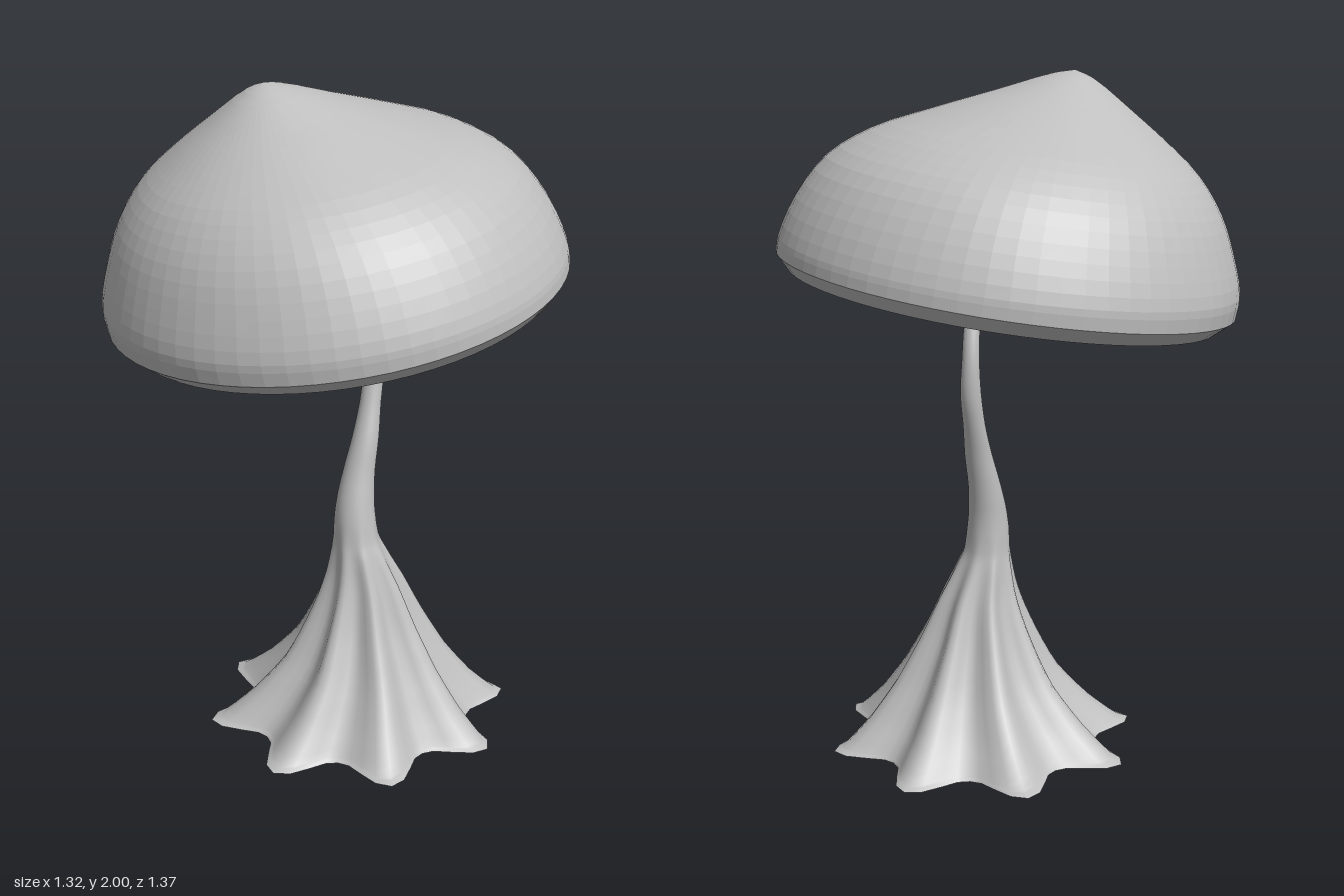
import * as THREE from 'three';

const SEGMENTS = 64;

// Skin a list of rings; each ring maps an angle to a point. Rings run from the underside outwards and up.
function loft(rings, faceted) {
  const positions = [], index = [];
  for (const ring of rings) {
    for (let j = 0; j < SEGMENTS; j++) positions.push(...ring((j / SEGMENTS) * Math.PI * 2).toArray());
  }
  for (let i = 0; i < rings.length - 1; i++) {
    for (let j = 0; j < SEGMENTS; j++) {
      const k = (j + 1) % SEGMENTS;
      const a = i * SEGMENTS + j, c = i * SEGMENTS + k;
      const b = a + SEGMENTS, d = c + SEGMENTS;
      index.push(a, b, c, b, d, c);
    }
  }
  let geometry = new THREE.BufferGeometry();
  geometry.setAttribute('position', new THREE.Float32BufferAttribute(positions, 3));
  geometry.setIndex(index);
  if (faceted) geometry = geometry.toNonIndexed();
  geometry.computeVertexNormals();
  return geometry;
}

// Tilted cap ring spanning a left point and a right point in the xy plane
function capRing(l, r) {
  const mid = l.clone().add(r).multiplyScalar(0.5);
  const half = r.clone().sub(l).multiplyScalar(0.5);
  const depth = half.length() * 1.03;
  return a => new THREE.Vector3(mid.x + half.x * Math.cos(a), mid.y + half.y * Math.cos(a), depth * Math.sin(a));
}

const path = points => new THREE.CatmullRomCurve3(points.map(([x, y, z = 0]) => new THREE.Vector3(x, y, z)));

// Stem or root ring: centre, radii, and how far the valleys between the eight ridges sink in
function stemRing(x, y, z, rx, rz, valley = 1) {
  return a => {
    const ridge = Math.pow(0.5 + 0.5 * Math.cos(8 * a), 1.3);
    const s = valley + (1 - valley) * ridge;
    return new THREE.Vector3(x + rx * s * Math.cos(a), y, z + rz * s * Math.sin(a));
  };
}

export function createModel() {
  const group = new THREE.Group();
  const grey = new THREE.MeshStandardMaterial({ color: 0xbfbfbf });
  grey.name = 'grey';
  const add = (name, geometry) => {
    const mesh = new THREE.Mesh(geometry, grey);
    mesh.name = name;
    group.add(mesh);
  };

  // Cap dome: left and right outlines, leaning towards -x
  const left = path([[-0.652, 1.305], [-0.664, 1.37], [-0.645, 1.48], [-0.61, 1.595], [-0.55, 1.7],
    [-0.465, 1.79], [-0.36, 1.885], [-0.25, 1.977], [-0.2, 2.0]]);
  const right = path([[0.66, 1.505], [0.652, 1.55], [0.6, 1.66], [0.51, 1.77], [0.385, 1.842],
    [0.22, 1.893], [0.03, 1.945], [-0.14, 1.992], [-0.2, 2.0]]);
  const dome = [];
  for (let i = 0; i <= 24; i++) dome.push(capRing(left.getPoint(i / 24), right.getPoint(i / 24)));
  add('capDome', loft(dome, true));

  // Cap lip and hollow underside
  const rimL = new THREE.Vector3(-0.6, 1.27, 0), rimR = new THREE.Vector3(0.63, 1.46, 0);
  add('capLip', loft([capRing(rimL, rimR), capRing(left.getPoint(0), right.getPoint(0))], true));
  const centre = rimL.clone().add(rimR).multiplyScalar(0.5);
  const up = new THREE.Vector3(-0.153, 0.988, 0);
  const underside = [[0, 0.11], [0.07, 0.1], [0.08, 0.075], [0.5, 0.04], [0.84, 0.012], [1, 0]].map(([s, lift]) => {
    const shift = p => centre.clone().lerp(p, s).addScaledVector(up, lift);
    return capRing(shift(rimL), shift(rimR));
  });
  add('capUnderside', loft(underside, true));

  // Root skirt with eight ridges, running up into the curved stem: [x, y, z, rx, rz, valley]
  const rows = [
    [0.075, 0, 0, 0.465, 0.465, 0.73], [0.078, 0.012, 0, 0.435, 0.435, 0.755], [0.085, 0.09, 0.005, 0.345, 0.35, 0.77],
    [0.092, 0.2, 0.008, 0.253, 0.262, 0.77], [0.09, 0.33, 0.006, 0.18, 0.185, 0.77], [0.085, 0.45, 0.005, 0.125, 0.13, 0.82],
    [0.07, 0.55, 0.004, 0.085, 0.095, 0.9], [0.063, 0.6, 0.002, 0.069, 0.077, 0.96], [0.062, 0.7, -0.005, 0.058, 0.06, 1],
    [0.077, 0.8, -0.022, 0.048, 0.048, 1], [0.1, 0.9, -0.04, 0.04, 0.041, 1], [0.12, 1.0, -0.067, 0.032, 0.034, 1],
    [0.135, 1.1, -0.087, 0.03, 0.029, 1], [0.135, 1.2, -0.088, 0.025, 0.027, 1], [0.124, 1.3, -0.068, 0.023, 0.023, 1],
    [0.1, 1.38, -0.044, 0.018, 0.018, 1], [0.07, 1.45, -0.015, 0.012, 0.012, 1], [0.05, 1.5, 0, 0.008, 0.008, 1],
  ];
  const centres = path(rows.map(r => r.slice(0, 3)));
  const radii = path(rows.map(r => r.slice(3)));
  const steps = (rows.length - 1) * 3, stem = [];
  for (let i = 0; i <= steps; i++) {
    const c = centres.getPoint(i / steps), r = radii.getPoint(i / steps);
    stem.push(stemRing(c.x, c.y, c.z, r.x, r.y, r.z));
  }
  add('stem', loft(stem, false));

  // Flat foot
  add('foot', loft([stemRing(0.075, 0, 0, 0, 0), stemRing(...rows[0])], false));
  return group;
}
